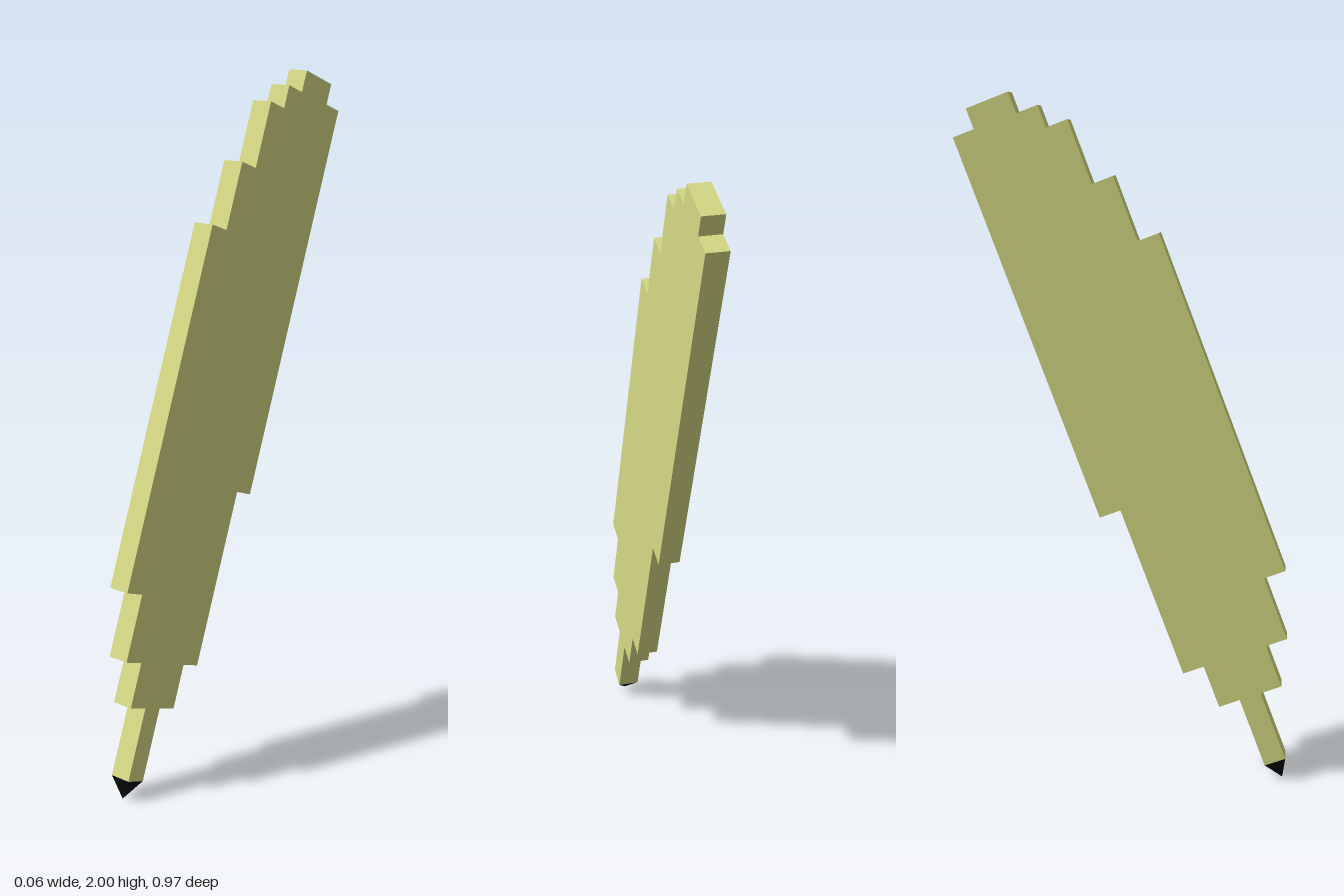
import * as THREE from 'three';

const TILT = 0.365; // lean of the quill towards the back
const STEP = 0.0647; // width of one column of the vane
const BACK = 0.22; // back edge of the first column
const THICK = 0.064;

// [bottom, top] of each column along the quill, from back edge to front edge
const COLUMNS = [
  [0.756, 1.922], [0.235, 1.983], [0.105, 1.983], [-0.108, 1.919],
  [0.105, 1.852], [0.235, 1.66], [0.428, 1.465],
];

export function createModel() {
  const model = new THREE.Group();
  model.name = 'quill';
  const tilted = new THREE.Group();
  tilted.name = 'tiltedQuill';
  tilted.rotation.x = -TILT;
  model.add(tilted);

  // feather: stepped outline, up over the tops and back along the bottoms
  const edge = (i) => BACK + i * STEP;
  const outline = [];
  const addPoint = (x, y) => {
    const last = outline[outline.length - 1];
    if (!last || last.x !== x || last.y !== y) outline.push(new THREE.Vector2(x, y));
  };
  COLUMNS.forEach(([, top], i) => {
    addPoint(edge(i), top);
    addPoint(edge(i + 1), top);
  });
  for (let i = COLUMNS.length - 1; i >= 0; i--) {
    addPoint(edge(i + 1), COLUMNS[i][0]);
    addPoint(edge(i), COLUMNS[i][0]);
  }
  const featherGeometry = new THREE.ExtrudeGeometry(new THREE.Shape(outline), {
    depth: THICK, bevelEnabled: false,
  });
  featherGeometry.translate(0, 0, -THICK / 2).rotateY(-Math.PI / 2);
  const feather = new THREE.Mesh(
    featherGeometry,
    new THREE.MeshStandardMaterial({ color: 0xd6da84, flatShading: true }),
  );
  feather.name = 'feather';
  tilted.add(feather);

  // nib: four-sided point under the shaft
  const nibHeight = 0.06;
  const nibGeometry = new THREE.ConeGeometry((THICK / 2) * Math.SQRT2, nibHeight, 4);
  nibGeometry.rotateY(Math.PI / 4).rotateX(Math.PI);
  const nib = new THREE.Mesh(
    nibGeometry,
    new THREE.MeshStandardMaterial({ color: 0x080808, flatShading: true }),
  );
  nib.name = 'nib';
  nib.position.set(0, COLUMNS[3][0] - nibHeight / 2, edge(3.5));
  tilted.add(nib);

  return model;
}
